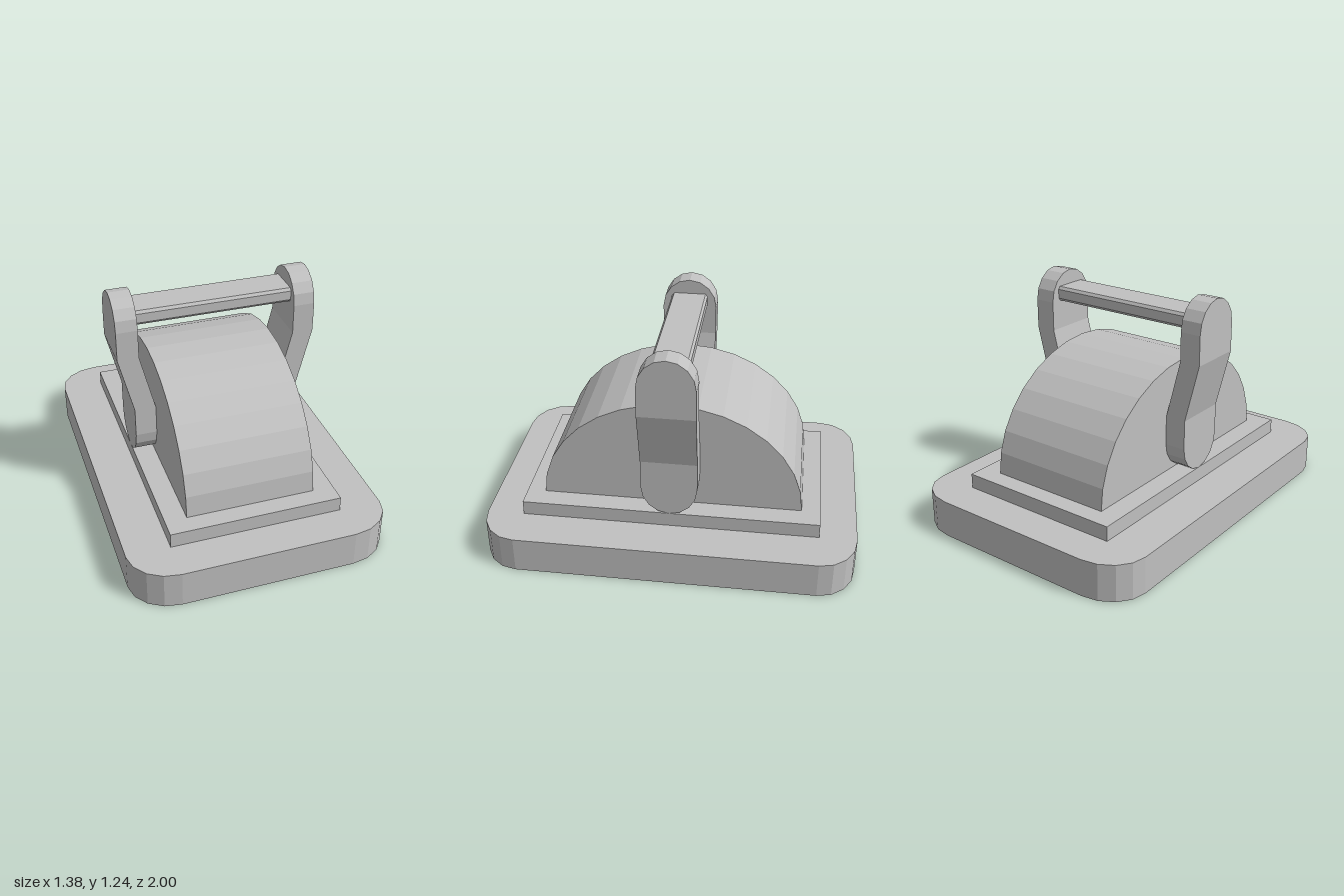
import * as THREE from 'three';

const grey = new THREE.MeshStandardMaterial({ color: 0xc0c0c0 });
grey.name = 'plainGrey';

function part(name, geometry, parent) {
  const flat = geometry.index ? geometry.toNonIndexed() : geometry;
  flat.computeVertexNormals();
  const mesh = new THREE.Mesh(flat, grey);
  mesh.name = name;
  parent.add(mesh);
  return mesh;
}

// Rectangle with elliptical corners, centred on the origin
function roundedRect(hx, hy, rx, ry, segments) {
  const points = [];
  for (let q = 0; q < 4; q++) {
    const sx = q === 0 || q === 3 ? 1 : -1;
    const sy = q < 2 ? 1 : -1;
    for (let i = 0; i <= segments; i++) {
      const a = (q + i / segments) * Math.PI / 2;
      points.push(new THREE.Vector2(sx * (hx - rx) + rx * Math.cos(a), sy * (hy - ry) + ry * Math.sin(a)));
    }
  }
  return new THREE.Shape(points);
}

// Extrusion running along x, with the profile drawn in z and y
function extrudeAlongX(shape, width) {
  return new THREE.ExtrudeGeometry(shape, { depth: width, bevelEnabled: false, steps: 1 })
    .translate(0, 0, -width / 2)
    .rotateY(Math.PI / 2);
}

// Cranked arm: rectangular sections stacked up y, with rounded ends
function armGeometry() {
  const rows = [];
  const inner = 0.345, thick = 0.115, lean = 0.08, halfZ = 0.15, cap = 0.16;
  for (let i = 0; i <= 4; i++) {
    const a = i * Math.PI / 8;
    rows.push([0.44 - cap * Math.cos(a), halfZ * Math.sin(a), inner]);
  }
  rows.push([0.6, halfZ, inner], [0.92, halfZ, inner + lean]);
  for (let i = 0; i <= 4; i++) {
    const a = i * Math.PI / 8;
    rows.push([1.08 + cap * Math.sin(a), halfZ * Math.cos(a), inner + lean]);
  }
  const ring = ([y, h, x]) => [[x, y, -h], [x + thick, y, -h], [x + thick, y, h], [x, y, h]];
  const positions = [];
  const addTriangle = (a, b, c) => {
    const area = new THREE.Triangle(...[a, b, c].map(p => new THREE.Vector3(...p))).getArea();
    if (area > 1e-8) positions.push(...a, ...b, ...c);
  };
  for (let r = 0; r < rows.length - 1; r++) {
    const low = ring(rows[r]), high = ring(rows[r + 1]);
    for (let j = 0; j < 4; j++) {
      const k = (j + 1) % 4;
      addTriangle(low[j], high[k], low[k]);
      addTriangle(low[j], high[j], high[k]);
    }
  }
  const geometry = new THREE.BufferGeometry();
  geometry.setAttribute('position', new THREE.Float32BufferAttribute(positions, 3));
  return geometry;
}

export function createModel() {
  const model = new THREE.Group();
  model.name = 'hingedHandle';

  // Base slab with rounded corners
  const slab = new THREE.ExtrudeGeometry(roundedRect(0.69, 1, 0.23, 0.2, 4), { depth: 0.2, bevelEnabled: false });
  part('baseSlab', slab.rotateX(-Math.PI / 2), model);

  // Raised plate on the slab
  part('raisedPlate', new THREE.BoxGeometry(0.92, 0.08, 1.6).translate(0, 0.24, 0), model);

  // Half-round drum
  const arc = [];
  for (let i = 0; i <= 16; i++) {
    const a = i * Math.PI / 16;
    arc.push(new THREE.Vector2(0.7 * Math.cos(a), 0.28 + 0.6 * Math.sin(a)));
  }
  part('halfDrum', extrudeAlongX(new THREE.Shape(arc), 0.69), model);

  // Pair of cranked arms
  part('leftArm', armGeometry(), model);
  part('rightArm', armGeometry().rotateY(Math.PI), model);

  // Cross bar with chamfered edges
  const bar = extrudeAlongX(roundedRect(0.1, 0.04, 0.012, 0.015, 1), 0.85);
  part('crossBar', bar.translate(0, 1.12, 0), model);

  return model;
}
